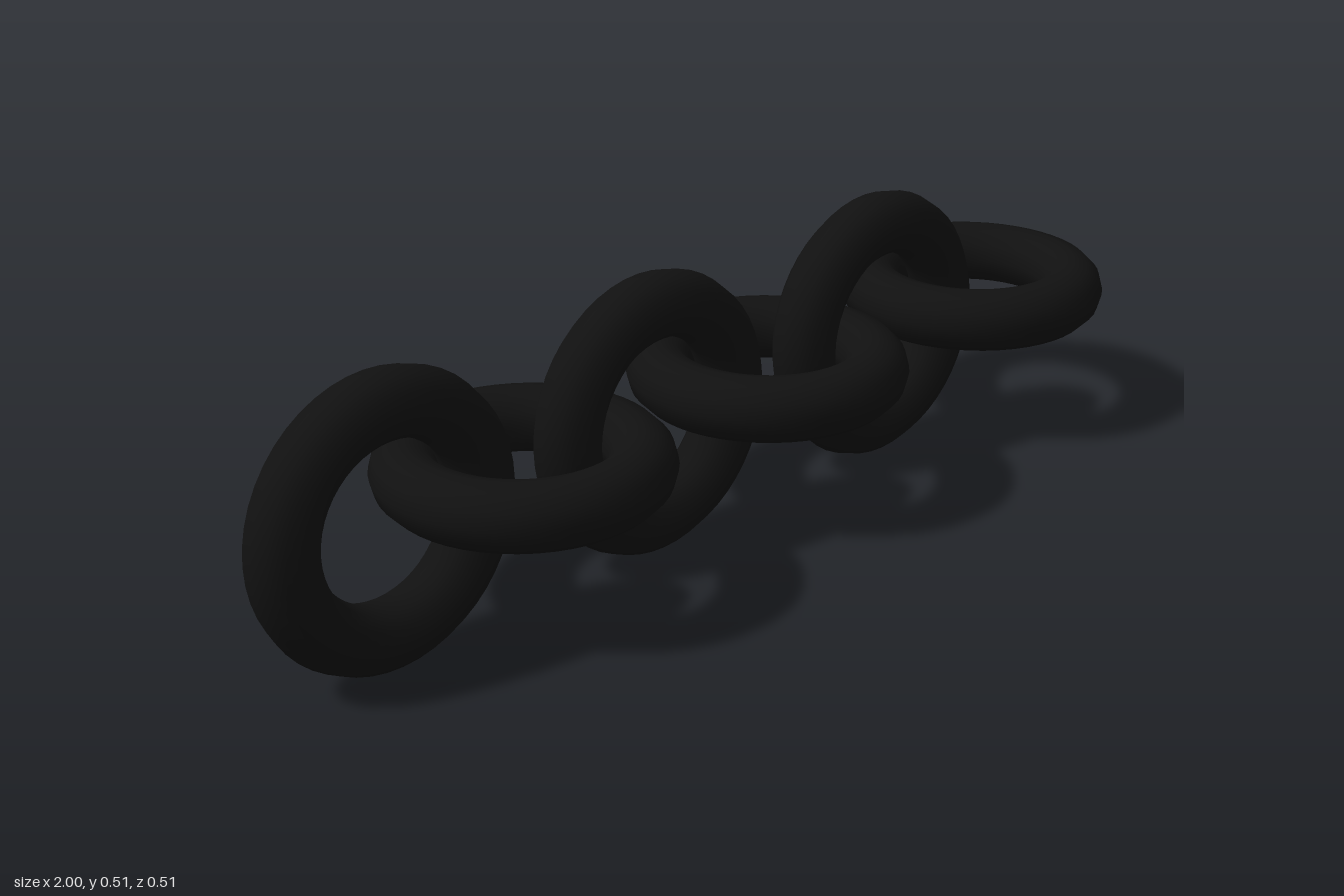
import * as THREE from 'three';

export function createModel() {
  const group = new THREE.Group();
  group.name = 'chain';

  const count = 6;
  const radius = 2 / 10.1; // ring centre-line radius for a 2 unit long chain
  const tube = radius * 0.3;
  const spacing = radius * 1.5;

  const material = new THREE.MeshStandardMaterial({ color: 0x111111 });
  const ring = new THREE.TorusGeometry(radius, tube, 12, 48);

  // Interlocking round links, alternately upright and lying flat
  for (let i = 0; i < count; i++) {
    const upright = i % 2 === 0;
    const link = new THREE.Mesh(ring, material);
    link.name = (upright ? 'uprightLink' : 'flatLink') + (i + 1);
    link.position.set((i - (count - 1) / 2) * spacing, radius + tube, 0);
    if (!upright) link.rotation.x = Math.PI / 2;
    group.add(link);
  }
  return group;
}
